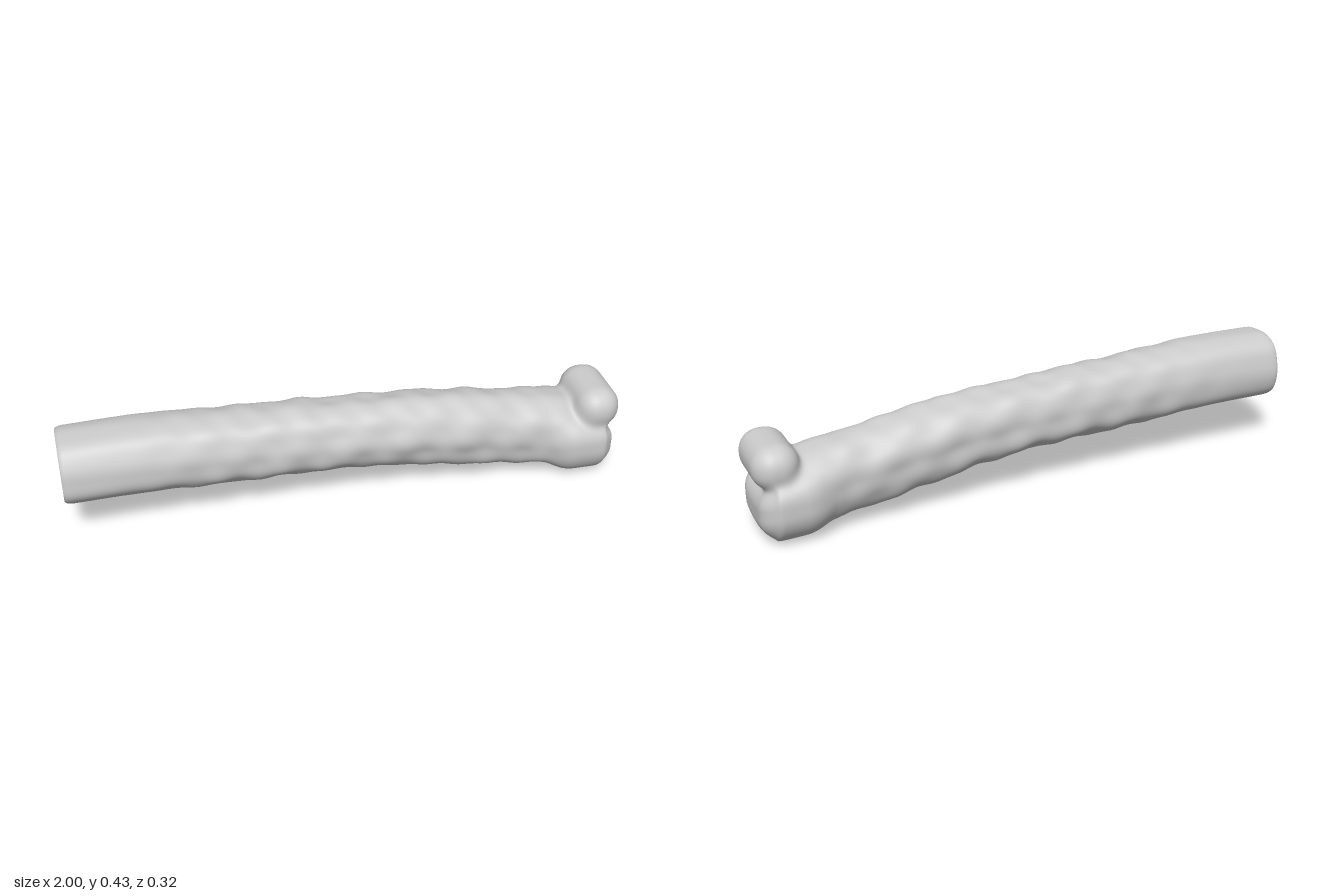
import * as THREE from 'three';

// Shaft stations: x, underside y, top y, half depth
const STATIONS = [
  [-1, 0.168, 0.424, 0.13], [-0.7, 0.167, 0.427, 0.129], [-0.4, 0.15, 0.412, 0.121],
  [-0.2, 0.143, 0.4, 0.119], [0, 0.135, 0.387, 0.119], [0.2, 0.113, 0.377, 0.119],
  [0.4, 0.079, 0.357, 0.121], [0.6, 0.046, 0.324, 0.119], [0.7, 0.033, 0.309, 0.125],
  [0.8, 0.022, 0.292, 0.142], [0.93, 0.01, 0.25, 0.14],
];

// Smooth interpolation between stations
function station(x) {
  const n = STATIONS.length;
  let i = 0;
  while (i < n - 2 && x > STATIONS[i + 1][0]) i++;
  const a = STATIONS[i], b = STATIONS[i + 1];
  const p = STATIONS[Math.max(0, i - 1)], q = STATIONS[Math.min(n - 1, i + 2)];
  const h = b[0] - a[0];
  const t = THREE.MathUtils.clamp((x - a[0]) / h, 0, 1), t2 = t * t, t3 = t2 * t;
  return [1, 2, 3].map((k) => {
    const ma = ((b[k] - p[k]) / (b[0] - p[0])) * h;
    const mb = ((q[k] - a[k]) / (q[0] - a[0])) * h;
    return (2 * t3 - 3 * t2 + 1) * a[k] + (t3 - 2 * t2 + t) * ma
      + (3 * t2 - 2 * t3) * b[k] + (t3 - t2) * mb;
  });
}

function axisY(x) {
  const [lo, hi] = station(x);
  return (lo + hi) / 2;
}

// Weathered surface: long grooves and shallow dents that fade towards both ends
function roughness(x, y, z) {
  const fade = THREE.MathUtils.smoothstep(x, -0.9, -0.35)
    * (1 - THREE.MathUtils.smoothstep(x, 0.68, 0.8));
  const th = Math.atan2(z, y - axisY(x));
  const grooves = 0.0022 * Math.sin(5 * th + 1.5 * x) + 0.0012 * Math.sin(9 * th - 2 * x + 1);
  const dents = 0.0026 * Math.sin(17 * x + 3 * th) * Math.cos(11 * x - 2 * th + 1)
    + 0.002 * Math.sin(31 * x + 4 * th + 2) + 0.0013 * Math.sin(53 * x - 5 * th);
  const ridge = 0.007 * Math.exp(-(((x + 0.16) / 0.045) ** 2)) * Math.max(0, Math.cos(th)) ** 6;
  return grooves * 0.8 + dents * fade + ridge;
}

function shaftField(x, y, z) {
  const [lo, hi, depth] = station(x);
  const a = (hi - lo) / 2, dy = Math.abs(y - (lo + hi) / 2) / a;
  const dz = Math.abs(z + 0.004) / depth;
  const d = ((dy ** 2.3 + dz ** 2.3) ** (1 / 2.3) - 1) * Math.min(a, depth);
  return Math.max(d - roughness(x, y, z), x - 0.92);
}

// Box with rounded edges, as a distance
function roundBox(x, y, z, hx, hy, hz, r) {
  const qx = Math.abs(x) - hx + r, qy = Math.abs(y) - hy + r, qz = Math.abs(z) - hz + r;
  return Math.hypot(Math.max(qx, 0), Math.max(qy, 0), Math.max(qz, 0))
    + Math.min(Math.max(qx, qy, qz), 0) - r;
}

function blend(a, b, k) {
  const h = Math.max(k - Math.abs(a - b), 0) / k;
  return Math.min(a, b) - (h * h * k) / 4;
}

// Whole bone: shaft blended with the lower and the upper knuckle
function boneField(x, y, z) {
  const shaft = shaftField(x, y, z);
  if (x < 0.55) return shaft;
  const lower = roundBox(x - 0.875, y - 0.1 - 1.5 * z * z, z - 0.002, 0.113, 0.096, 0.154, 0.078);
  const upper = roundBox(x - 0.918, y - 0.27, z - 0.006, 0.081, 0.078, 0.141, 0.074);
  return blend(blend(shaft, lower, 0.05), upper, 0.028);
}

// Distance from a point on the axis to the outer skin along a direction
function skinDistance(o, d) {
  const inside = (r) => boneField(o.x + d.x * r, o.y + d.y * r, o.z + d.z * r) < 0;
  let hi = 0.32;
  while (hi > 0.01 && !inside(hi)) hi -= 0.006;
  let lo = hi;
  hi += 0.006;
  for (let i = 0; i < 12; i++) {
    const m = (lo + hi) / 2;
    if (inside(m)) lo = m; else hi = m;
  }
  return lo;
}

function boneGeometry() {
  const sides = 96, rings = [];
  const headX = 0.89;
  // Rounded rim at the cut end
  for (const [x, s] of [[-1, 0.92], [-0.996, 0.96], [-0.986, 0.99], [-0.97, 1]]) {
    rings.push({ x, tilt: 0, scale: s });
  }
  // Shaft, with closer rings near the head
  for (let i = 1; i <= 110; i++) rings.push({ x: -0.97 + (1.7 * i) / 110, tilt: 0, scale: 1 });
  for (let i = 1; i <= 32; i++) {
    rings.push({ x: 0.73 + ((headX - 0.73) * i) / 32, tilt: 0, scale: 1 });
  }
  // Head, fanned out from one centre
  for (let i = 1; i < 36; i++) rings.push({ x: headX, tilt: (i / 36) * Math.PI / 2, scale: 1 });

  const pos = [], index = [];
  const o = new THREE.Vector3(), d = new THREE.Vector3();
  for (const { x, tilt, scale } of rings) {
    o.set(x, axisY(x) + 0.04 * THREE.MathUtils.smoothstep(x, 0.75, headX), 0);
    for (let j = 0; j < sides; j++) {
      const th = (j / sides) * Math.PI * 2;
      d.set(Math.sin(tilt), Math.cos(tilt) * Math.cos(th), Math.cos(tilt) * Math.sin(th));
      const r = skinDistance(o, d) * scale;
      pos.push(o.x + d.x * r, o.y + d.y * r, o.z + d.z * r);
    }
  }
  for (let i = 0; i < rings.length - 1; i++) {
    for (let j = 0; j < sides; j++) {
      const a = i * sides + j, b = i * sides + ((j + 1) % sides);
      index.push(a, b, a + sides, b, b + sides, a + sides);
    }
  }
  // Tip of the head
  d.set(1, 0, 0);
  const tip = pos.length / 3, last = (rings.length - 1) * sides;
  pos.push(o.x + skinDistance(o, d), o.y, 0);
  for (let j = 0; j < sides; j++) index.push(last + j, last + ((j + 1) % sides), tip);

  // Flat cut end with its own vertices, so its edge stays crisp
  const cap = pos.length / 3;
  for (let j = 0; j < sides * 3; j++) pos.push(pos[j]);
  pos.push(-1, axisY(-1), 0);
  for (let j = 0; j < sides; j++) index.push(cap + ((j + 1) % sides), cap + j, cap + sides);

  const g = new THREE.BufferGeometry();
  g.setAttribute('position', new THREE.Float32BufferAttribute(pos, 3));
  g.setIndex(index);
  g.computeVertexNormals();
  return g;
}

export function createModel() {
  const group = new THREE.Group();
  group.name = 'bone';
  const mesh = new THREE.Mesh(boneGeometry(), new THREE.MeshStandardMaterial({ color: 0xcccccc }));
  mesh.name = 'boneShaftAndKnuckles';
  group.add(mesh);
  return group;
}
